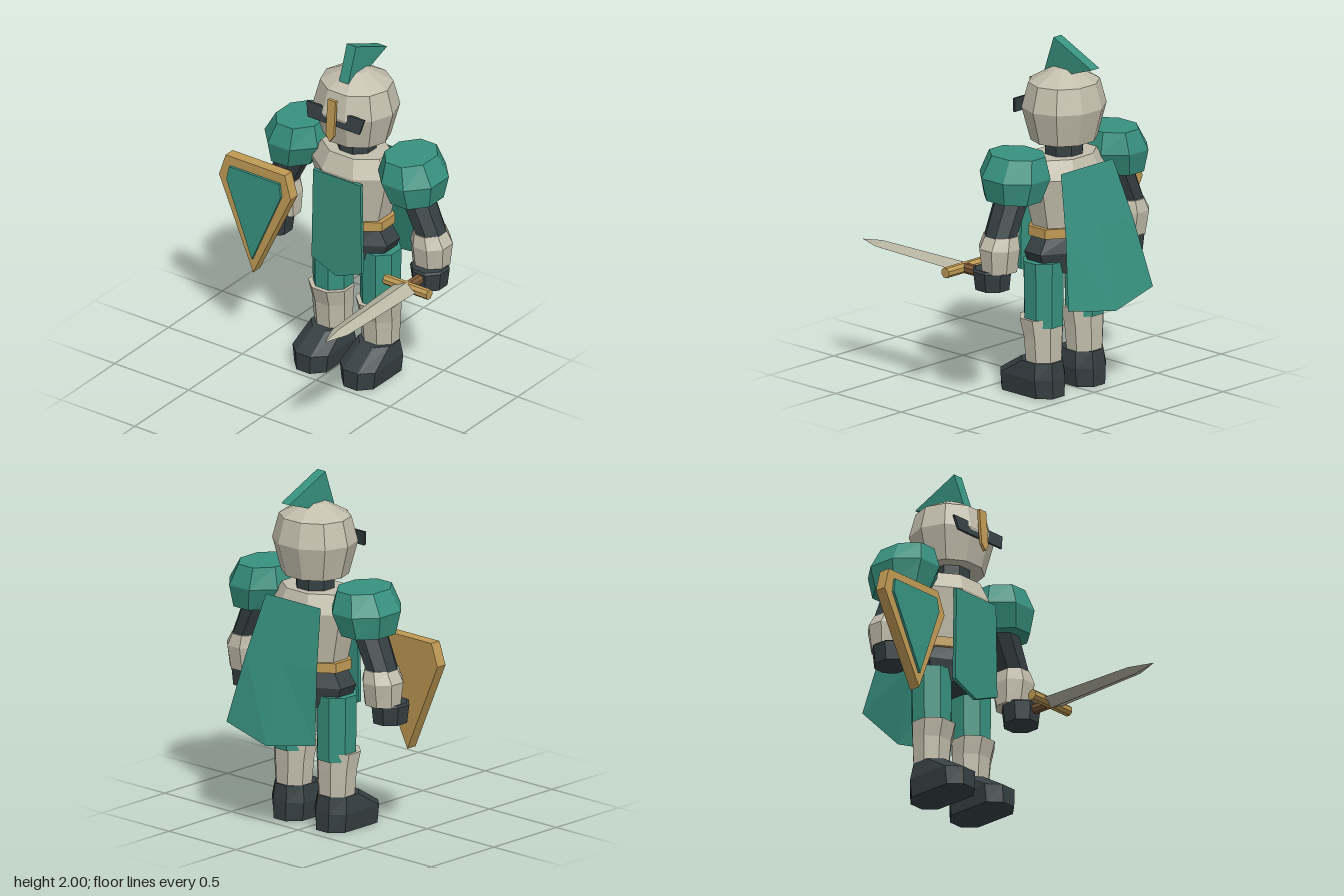
import * as THREE from 'three';

const CX = 0.045, CZ = -0.315; // body axis

const mat = (name, color) => {
  const m = new THREE.MeshStandardMaterial({ color });
  m.name = name;
  return m;
};

// Faceted solid through rings [x, y, z, rx, rz], listed bottom to top.
// "flat" puts a face rather than a corner on the axes; radii are half widths.
function loft(rings, sides = 8, flat = true) {
  const pos = [], idx = [], n = sides;
  const turn = flat ? Math.PI / n : 0, grow = flat ? 1 / Math.cos(turn) : 1;
  for (const [x, y, z, rx, rz] of rings)
    for (let i = 0; i < n; i++) {
      const a = turn + (i / n) * Math.PI * 2;
      pos.push(x + Math.cos(a) * rx * grow, y, z + Math.sin(a) * rz * grow);
    }
  for (let r = 0; r < rings.length - 1; r++)
    for (let i = 0; i < n; i++) {
      const a = r * n + i, b = r * n + (i + 1) % n;
      idx.push(a, a + n, b, b, a + n, b + n);
    }
  const top = (rings.length - 1) * n;
  for (let i = 1; i < n - 1; i++) {
    idx.push(0, i, i + 1);
    idx.push(top, top + i + 1, top + i);
  }
  return facet(pos, idx);
}

function facet(pos, idx) {
  const g = new THREE.BufferGeometry();
  g.setAttribute('position', new THREE.Float32BufferAttribute(pos, 3));
  g.setIndex(idx);
  const out = g.toNonIndexed();
  out.computeVertexNormals();
  return out;
}

// Extruded outline whose back lies at z, leaning forward by "lean" per unit below yTop
function slab(points, z, depth, lean = 0, yTop = 0) {
  const shape = new THREE.Shape(points.map(p => new THREE.Vector2(p[0], p[1])));
  const g = new THREE.ExtrudeGeometry(shape, { depth, bevelEnabled: false });
  const p = g.attributes.position;
  for (let i = 0; i < p.count; i++) p.setZ(i, p.getZ(i) + z + (yTop - p.getY(i)) * lean);
  g.computeVertexNormals();
  return g;
}

export function createModel() {
  const root = new THREE.Group();
  root.name = 'knight';
  const green = mat('green', 0x37917f);
  const steel = mat('steel', 0xc3beac);
  const bladeSteel = mat('blade steel', 0xbbb8a5);
  const dark = mat('dark leather', 0x353f42);
  const gold = mat('gold', 0xc09a54);
  const brown = mat('brown grip', 0x7d5a38);
  const cloth = mat('green cloth', 0x37917f);
  cloth.side = THREE.DoubleSide;

  const add = (name, geometry, material) => {
    const m = new THREE.Mesh(geometry, material);
    m.name = name;
    root.add(m);
    return m;
  };
  // Rings centred on the body axis: [y, rx, rz]
  const body = rows => rows.map(([y, rx, rz]) => [CX, y, CZ, rx, rz]);

  // Head
  add('helmet', loft(body([
    [1.43, 0.193, 0.177], [1.62, 0.245, 0.226], [1.76, 0.207, 0.19], [1.835, 0.065, 0.06],
  ]), 10, false), steel);
  add('visor', slab([[-0.13, 1.57], [0.22, 1.57], [0.24, 1.655], [-0.15, 1.655]],
    -0.128, 0.014, 0.2, 1.655), dark);
  add('noseGuard', slab([[CX, 1.485], [0.072, 1.525], [0.072, 1.735], [0.018, 1.735], [0.018, 1.525]],
    -0.098, 0.018, 0.08, 1.735), gold);
  const plume = slab([[0.19, 1.785], [0.41, 1.82], [0.555, 1.87], [0.265, 2]], -0.031, 0.062);
  plume.rotateY(Math.PI / 2).translate(CX, 0, 0);
  add('plume', plume, green);
  add('neck', loft(body([[1.3, 0.105, 0.1], [1.5, 0.105, 0.1]])), dark);

  // Torso
  add('breastplate', loft(body([
    [0.94, 0.185, 0.14], [1.245, 0.255, 0.182], [1.35, 0.195, 0.14],
  ])), steel);
  add('belt', loft(body([[0.905, 0.215, 0.15], [0.96, 0.215, 0.15]])), gold);
  add('hips', loft(body([[0.7, 0.2, 0.135], [0.82, 0.25, 0.148], [0.91, 0.19, 0.13]])), dark);
  add('tabard', slab([[CX, 0.61], [0.215, 0.68], [0.205, 1.23], [-0.115, 1.23], [-0.125, 0.68]],
    -0.15, 0.022), green);

  // Cape: three rows of three points, bowed backwards at the hem
  const cape = [];
  for (const [half, y, z, midY, midZ] of [
    [0.205, 1.3, -0.49, 1.3, -0.49], [0.265, 0.97, -0.585, 0.97, -0.585], [0.333, 0.58, -0.67, 0.52, -0.71],
  ]) cape.push(CX - half, y, z, CX, midY, midZ, CX + half, y, z);
  const capeFaces = [];
  for (const i of [0, 1, 3, 4]) capeFaces.push(i, i + 1, i + 3, i + 1, i + 4, i + 3);
  add('cape', facet(cape, capeFaces), cloth);

  // Limbs, mirrored about the body axis
  for (const [side, s] of [['left', 1], ['right', -1]]) {
    const limb = rows => rows.map(([dx, y, z, rx, rz]) => [CX + s * dx, y, z, rx, rz]);
    add(side + 'Pauldron', loft(limb([
      [0.405, 1.17, CZ, 0.135, 0.163], [0.385, 1.3, CZ, 0.18, 0.198], [0.368, 1.42, CZ, 0.13, 0.163],
    ])), green);
    add(side + 'UpperArm', loft(limb([
      [0.505, 0.97, CZ, 0.08, 0.09], [0.38, 1.24, CZ, 0.092, 0.096],
    ])), dark);
    add(side + 'Forearm', loft(limb([
      [0.505, 0.78, CZ, 0.1, 0.09], [0.508, 0.915, CZ, 0.11, 0.112], [0.495, 0.985, CZ, 0.083, 0.098],
    ])), steel);
    add(side + 'Hand', loft(limb([
      [0.525, 0.675, -0.275, 0.09, 0.095], [0.525, 0.78, -0.275, 0.103, 0.105], [0.52, 0.79, -0.28, 0.095, 0.1],
    ])), dark);
    add(side + 'Thigh', loft(limb([
      [0.16, 0.4, CZ, 0.105, 0.105], [0.16, 0.77, CZ, 0.11, 0.11],
    ])), green);
    add(side + 'Greave', loft(limb([
      [0.16, 0.18, -0.317, 0.1, 0.092], [0.16, 0.345, -0.312, 0.111, 0.1], [0.16, 0.445, -0.298, 0.122, 0.114],
    ])), steel);

    // Boot: octagonal rings with the toe half pulled forward
    const boot = loft(limb([
      [0.16, 0, -0.315, 0.108, 0.115], [0.16, 0.105, -0.315, 0.12, 0.115], [0.16, 0.2, -0.302, 0.106, 0.117],
    ]));
    const p = boot.attributes.position;
    for (let i = 0; i < p.count; i++)
      if (p.getY(i) < 0.15 && p.getZ(i) > -0.315) p.setZ(i, p.getZ(i) + 0.165);
    boot.computeVertexNormals();
    add(side + 'Boot', boot, dark);
  }

  // Shield
  add('shieldRim', slab([[-0.48, 0.485], [-0.245, 1.005], [-0.29, 1.14], [-0.69, 1.14], [-0.73, 1.01]],
    -0.17, 0.065, 0.05, 1.14), gold);
  add('shieldFace', slab([[-0.482, 0.57], [-0.303, 1.005], [-0.317, 1.085], [-0.655, 1.085], [-0.67, 1.005]],
    -0.105, 0.015, 0.05, 1.14), green);

  // Sword, built upright and then laid forward out of the left hand
  const sword = new THREE.Group();
  sword.name = 'sword';
  sword.position.set(0.572, 0.748, 0);
  root.add(sword);
  const blade = loft([
    [0, -0.05, 0, 0.077, 0.032], [0, 0.56, 0, 0.054, 0.024], [0, 0.705, 0, 0.001, 0.001],
  ], 4, false).rotateX(Math.PI / 2);
  const grip = loft([[0, -0.3, 0, 0.028, 0.028], [0, -0.06, 0, 0.028, 0.028]]).rotateX(Math.PI / 2);
  const guard = loft([[0, -0.148, 0, 0.028, 0.028], [0, 0.148, 0, 0.028, 0.028]])
    .rotateZ(Math.PI / 2).translate(0, 0, -0.063);
  sword.add(
    Object.assign(new THREE.Mesh(blade, bladeSteel), { name: 'blade' }),
    Object.assign(new THREE.Mesh(grip, brown), { name: 'grip' }),
    Object.assign(new THREE.Mesh(guard, gold), { name: 'crossguard' }),
  );
  return root;
}
